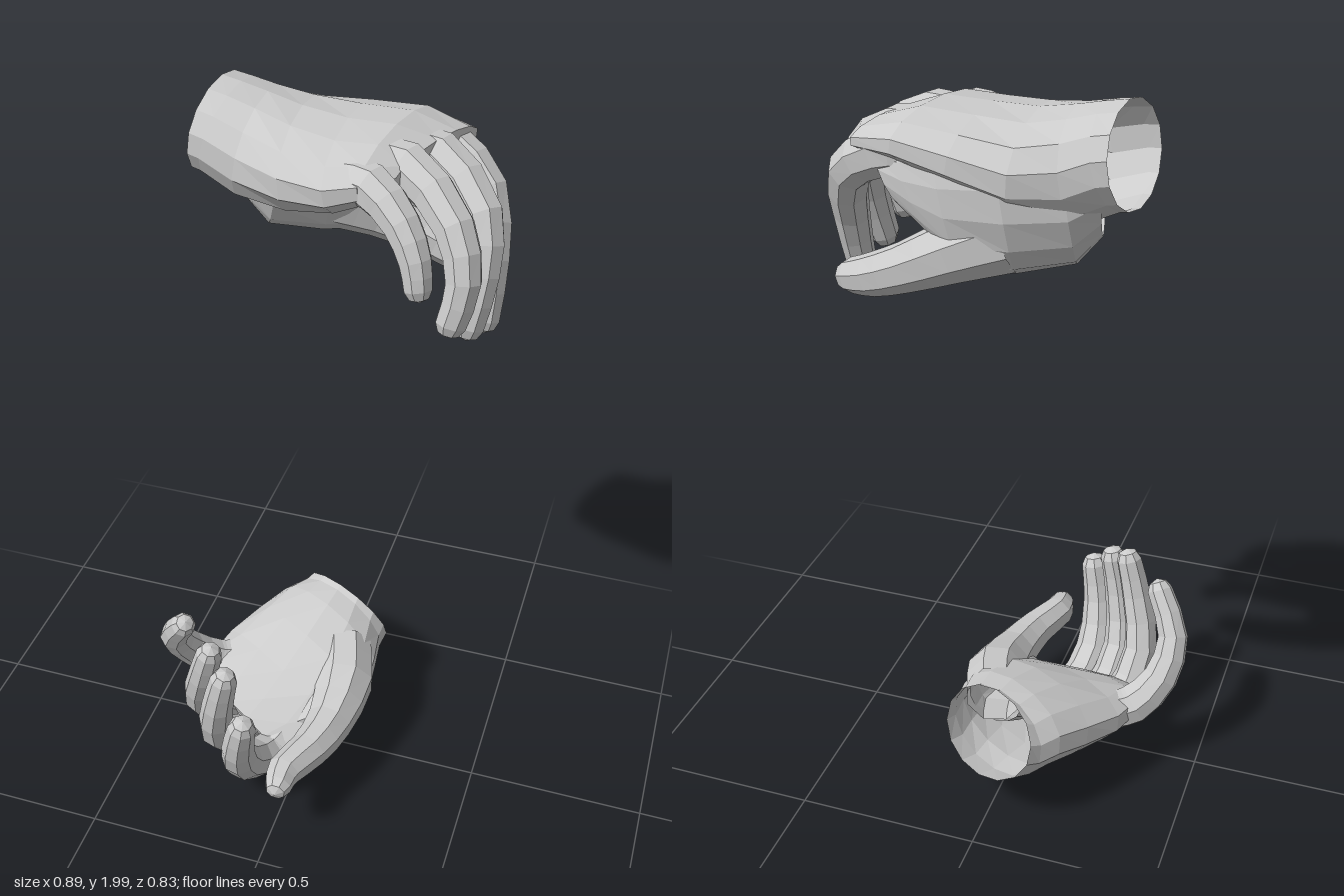
import * as THREE from 'three';

const V = (a) => new THREE.Vector3(a[0], a[1], a[2]);
const skin = new THREE.MeshStandardMaterial({ color: 0xcccccc, flatShading: true, side: THREE.DoubleSide });

// Skin a list of equal-sized rings into one surface
function loft(rings, name) {
  const n = rings[0].length, index = [];
  for (let i = 0; i < rings.length - 1; i++) {
    for (let j = 0; j < n; j++) {
      const k = (j + 1) % n;
      const a = i * n + j, b = i * n + k, c = b + n, d = a + n;
      index.push(a, b, c, a, c, d);
    }
  }
  const geo = new THREE.BufferGeometry().setFromPoints(rings.flat());
  geo.setIndex(index);
  geo.computeVertexNormals();
  const mesh = new THREE.Mesh(geo, skin);
  mesh.name = name;
  return mesh;
}

const ring = (c, u, v, n) => Array.from({ length: n }, (_, j) => {
  const t = (j + 0.5) / n * Math.PI * 2;
  return c.clone().addScaledVector(u, Math.cos(t)).addScaledVector(v, Math.sin(t));
});

// Flattened body: sections of [centre, half-width vector, half thickness], open at the start
function body(name, sections) {
  const last = sections.length - 1;
  const rings = sections.map(([c, u, h], i) => {
    const along = V(sections[Math.min(i + 1, last)][0]).sub(V(sections[Math.max(i - 1, 0)][0]));
    const v = along.cross(V(u)).normalize().multiplyScalar(h);
    return ring(V(c), V(u), v, 14);
  });
  rings.push(ring(V(sections[last][0]), new THREE.Vector3(), new THREE.Vector3(), 14));
  return loft(rings, name);
}

// Finger: tapered tube through [x, y, z, radius] with a rounded tip, open where it meets the palm
function finger(name, pts, sides = 8) {
  const curve = new THREE.CatmullRomCurve3(pts.map(V), false, 'centripetal');
  const steps = (pts.length - 1) * 2;
  const frames = curve.computeFrenetFrames(steps);
  const rings = [];
  // getPoint follows the control points, so the radius can too
  for (let i = 0; i <= steps; i++) {
    const t = i / steps, f = t * (pts.length - 1);
    const k = Math.min(Math.floor(f), pts.length - 2);
    const r = THREE.MathUtils.lerp(pts[k][3], pts[k + 1][3], f - k);
    const tangent = curve.getTangent(t);
    const u = frames.normals[i].clone().addScaledVector(tangent, -frames.normals[i].dot(tangent)).normalize();
    const v = tangent.clone().cross(u);
    const add = (scale, ahead) => rings.push(ring(
      curve.getPoint(t).addScaledVector(tangent, ahead * r),
      u.clone().multiplyScalar(r * scale), v.clone().multiplyScalar(r * scale), sides));
    add(1, 0);
    if (i === steps) { add(0.7, 0.6); add(0, 0.9); }
  }
  return loft(rings, name);
}

function hand(name, palm, thumbMuscle, digits) {
  const g = new THREE.Group();
  g.name = name;
  g.add(body('palm', palm), body('thumbMuscle', thumbMuscle));
  for (const [key, pts] of Object.entries(digits)) g.add(finger(key, pts));
  return g;
}

export function createModel() {
  const model = new THREE.Group();
  model.name = 'pairOfHands';

  // Upper hand: palm down, fingers hanging
  model.add(hand('upperHand', [
    [[-0.315, 1.878, -0.225], [-0.022, 0, 0.148], 0.122],
    [[-0.28, 1.873, -0.222], [-0.02, 0, 0.155], 0.122],
    [[-0.2, 1.845, -0.215], [-0.01, 0, 0.175], 0.132],
    [[-0.08, 1.84, -0.2], [0, 0, 0.218], 0.118],
    [[0.05, 1.86, -0.178], [-0.01, -0.01, 0.232], 0.094],
    [[0.16, 1.882, -0.17], [-0.04, -0.01, 0.218], 0.074],
    [[0.25, 1.882, -0.185], [-0.06, 0, 0.165], 0.042],
  ], [
    [[-0.25, 1.8, -0.24], [0, 0.11, -0.01], 0.09],
    [[-0.17, 1.77, -0.255], [0.02, 0.15, -0.02], 0.118],
    [[-0.04, 1.762, -0.305], [0.02, 0.165, -0.02], 0.108],
    [[0.08, 1.75, -0.332], [0.03, 0.15, -0.01], 0.068],
    [[0.15, 1.77, -0.33], [0.05, 0.105, 0], 0.05],
    [[0.22, 1.8, -0.32], [0.035, 0.07, 0], 0.04],
  ], {
    indexFinger: [[0.18, 1.865, -0.31, 0.052], [0.25, 1.855, -0.305, 0.06], [0.36, 1.78, -0.25, 0.053],
      [0.4, 1.64, -0.17, 0.045], [0.403, 1.5, -0.125, 0.038]],
    middleFinger: [[0.17, 1.88, -0.21, 0.054], [0.25, 1.875, -0.205, 0.059], [0.378, 1.785, -0.115, 0.053],
      [0.4, 1.66, -0.055, 0.045], [0.385, 1.538, -0.02, 0.039]],
    ringFinger: [[0.13, 1.885, -0.115, 0.053], [0.2, 1.888, -0.1, 0.057], [0.338, 1.8, -0.005, 0.05],
      [0.377, 1.69, 0.042, 0.044], [0.358, 1.588, 0.06, 0.039]],
    littleFinger: [[0.08, 1.87, -0.025, 0.052], [0.14, 1.872, -0.005, 0.055], [0.228, 1.815, 0.047, 0.046],
      [0.27, 1.745, 0.077, 0.04], [0.283, 1.682, 0.09, 0.035]],
    thumb: [[-0.04, 1.69, -0.305, 0.09], [0.08, 1.645, -0.337, 0.074],
      [0.19, 1.597, -0.347, 0.06], [0.28, 1.562, -0.335, 0.052], [0.34, 1.545, -0.317, 0.043]],
  }));

  // Lower hand: palm up, fingers curled upward
  model.add(hand('lowerHand', [
    [[0.01, 0.26, -0.34], [0.142, -0.01, 0.065], 0.124],
    [[-0.005, 0.245, -0.305], [0.15, -0.01, 0.07], 0.122],
    [[-0.02, 0.24, -0.24], [0.175, -0.02, 0.09], 0.12],
    [[-0.045, 0.212, -0.14], [0.205, -0.03, 0.11], 0.115],
    [[-0.09, 0.172, -0.04], [0.22, -0.05, 0.11], 0.097],
    [[-0.14, 0.135, 0.04], [0.2, -0.08, 0.09], 0.078],
    [[-0.175, 0.112, 0.1], [0.14, -0.065, 0.06], 0.054],
  ], [
    [[0.055, 0.225, -0.15], [0.05, 0.07, 0], 0.07],
    [[0.055, 0.195, -0.07], [0.06, 0.1, 0], 0.08],
    [[0.02, 0.15, 0.05], [0.075, 0.09, 0], 0.06],
    [[0.01, 0.14, 0.1], [0.08, 0.07, -0.01], 0.038],
  ], {
    indexFinger: [[-0.055, 0.1, 0.09, 0.055], [-0.09, 0.07, 0.15, 0.062], [-0.12, 0.14, 0.265, 0.057],
      [-0.11, 0.27, 0.338, 0.047], [-0.088, 0.385, 0.358, 0.039]],
    middleFinger: [[-0.15, 0.12, 0.07, 0.052], [-0.18, 0.092, 0.12, 0.058], [-0.213, 0.2, 0.228, 0.053],
      [-0.19, 0.36, 0.278, 0.045], [-0.165, 0.475, 0.283, 0.038]],
    ringFinger: [[-0.21, 0.15, 0.02, 0.052], [-0.25, 0.128, 0.07, 0.056], [-0.288, 0.25, 0.163, 0.05],
      [-0.255, 0.4, 0.218, 0.043], [-0.225, 0.51, 0.233, 0.037]],
    littleFinger: [[-0.27, 0.2, -0.07, 0.055], [-0.32, 0.21, -0.04, 0.058], [-0.385, 0.285, 0.01, 0.05],
      [-0.4, 0.385, 0.075, 0.043], [-0.343, 0.495, 0.132, 0.036]],
    thumb: [[0.05, 0.25, -0.17, 0.085], [0.085, 0.225, -0.05, 0.09], [0.085, 0.2, 0.1, 0.068],
      [0.06, 0.2, 0.22, 0.056], [0.02, 0.205, 0.32, 0.049], [0.02, 0.203, 0.375, 0.039]],
  }));

  return model;
}
